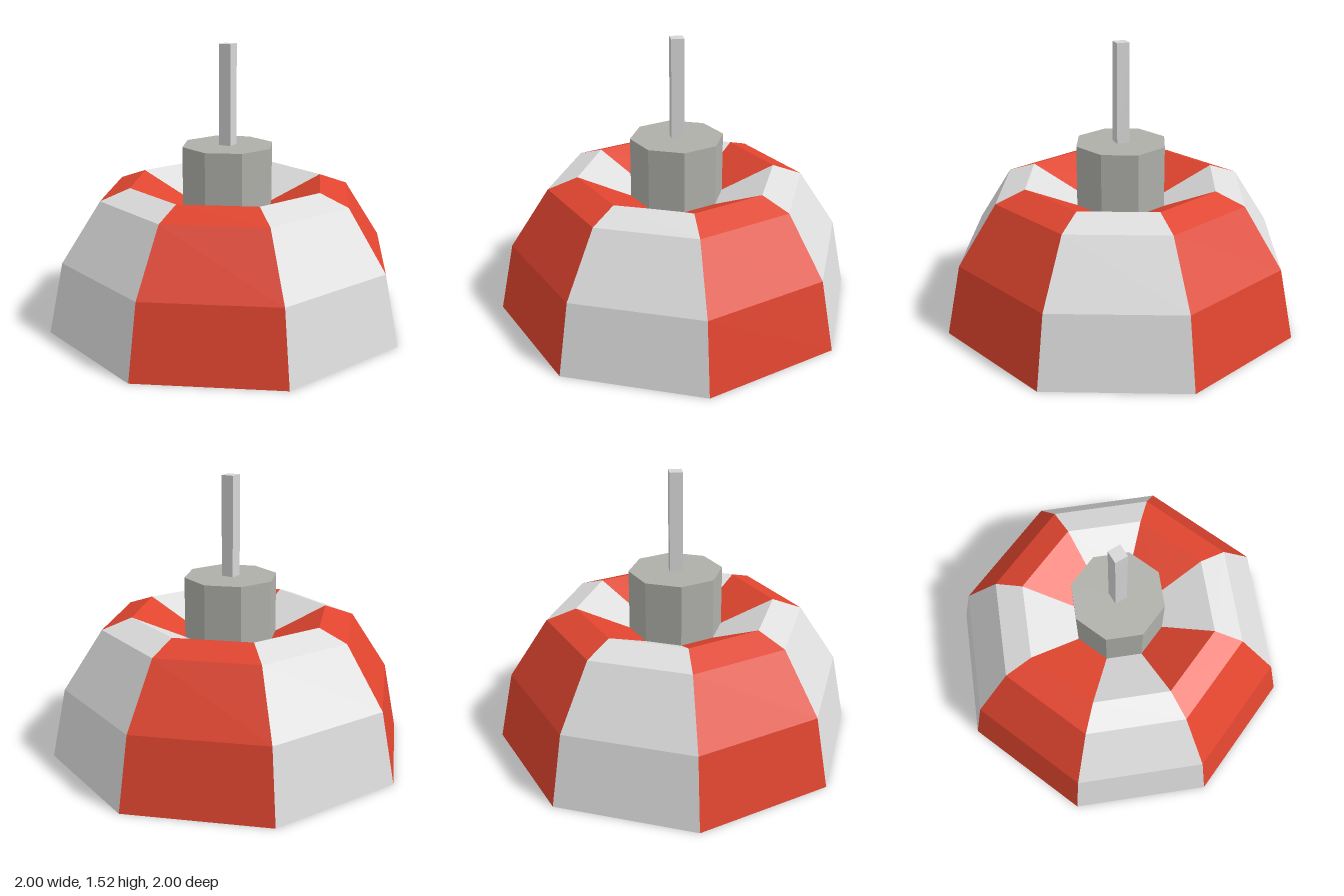
import * as THREE from 'three';

const red = new THREE.MeshStandardMaterial({ name: 'red', color: 0xe0452f, side: THREE.DoubleSide });
const white = new THREE.MeshStandardMaterial({ name: 'white', color: 0xdedede, side: THREE.DoubleSide });
const hubGrey = new THREE.MeshStandardMaterial({ name: 'hubGrey', color: 0xafafaa });
const poleGrey = new THREE.MeshStandardMaterial({ name: 'poleGrey', color: 0xd6d6d6 });

// One normal per face for the faceted look
function faceted(geometry) {
  const flat = geometry.toNonIndexed();
  flat.computeVertexNormals();
  return flat;
}

function addPart(parent, name, geometry, material, y = 0) {
  const mesh = new THREE.Mesh(faceted(geometry), material);
  mesh.name = name;
  mesh.position.y = y;
  parent.add(mesh);
}

export function createModel() {
  const model = new THREE.Group();
  model.name = 'stripedCanopy';

  // Canopy: eight flat-sided gores, open below, dipping in towards the hub
  const sides = 8;
  const profile = [[1, 0], [0.92, 0.385], [0.707, 0.71], [0.545, 0.77], [0.255, 0.64]]
    .map(([r, y]) => new THREE.Vector2(r, y));
  const canopy = new THREE.Group();
  canopy.name = 'canopy';
  const step = (Math.PI * 2) / sides;
  for (let i = 0; i < sides; i++) {
    const gore = new THREE.LatheGeometry(profile, 1, i * step, step);
    addPart(canopy, `canopyPanel${i + 1}`, gore, i % 2 ? white : red);
  }
  model.add(canopy);

  // Octagonal hub seated in the dip
  addPart(model, 'hub', new THREE.CylinderGeometry(0.255, 0.255, 0.335, sides), hubGrey, 0.8075);

  // Square pole on top of the hub
  addPart(model, 'pole', new THREE.BoxGeometry(0.07, 0.545, 0.07), poleGrey, 1.2475);

  return model;
}
